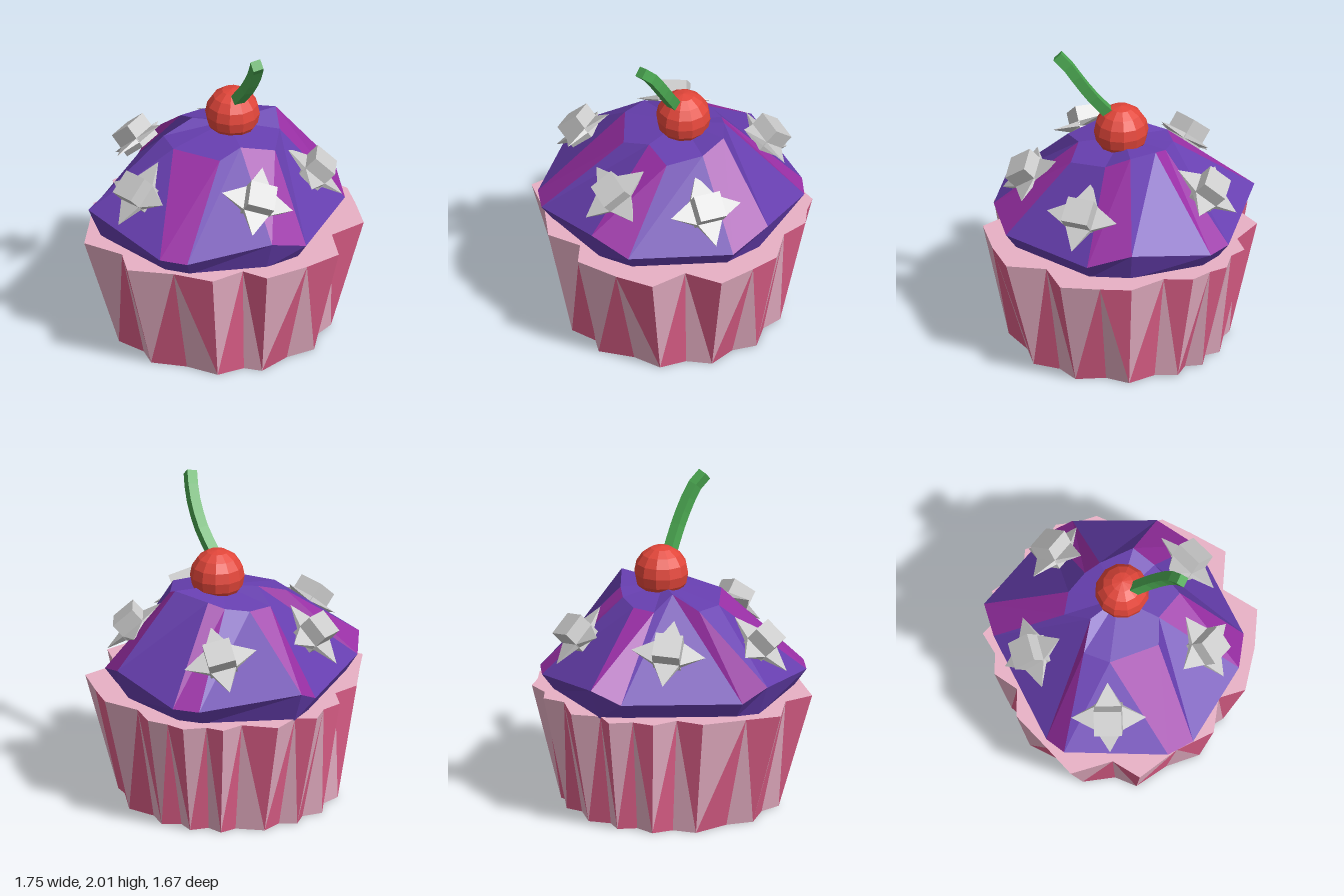
import * as THREE from 'three';

const material = color => new THREE.MeshStandardMaterial({ color, flatShading: true });

function addMesh(parent, name, geometry, mat) {
  const mesh = new THREE.Mesh(geometry, mat);
  mesh.name = name;
  parent.add(mesh);
  return mesh;
}

// Turns a list of corner points, three per face, into a faceted geometry
function facets(points) {
  const g = new THREE.BufferGeometry().setFromPoints(points);
  g.computeVertexNormals();
  return g;
}

const V = (x, y, z) => new THREE.Vector3(x, y, z);

// Pleated paper cup: fourteen folds, narrow at the foot, uneven at the rim
function buildCup() {
  const group = new THREE.Group();
  group.name = 'paperCup';
  const high = [
    [0.87, 0.01], [0.84, 0.2], [0.79, 0.44], [0.55, 0.5], [0.49, 0.74], [0.25, 0.8], [-0.03, 0.83],
    [-0.13, 0.69], [-0.35, 0.73], [-0.53, 0.55], [-0.77, 0.39], [-0.72, 0.2], [-0.875, -0.02],
    [-0.76, -0.21], [-0.62, -0.45], [-0.45, -0.5], [-0.4, -0.66], [-0.27, -0.7], [-0.17, -0.81],
    [-0.05, -0.75], [0.11, -0.84], [0.29, -0.7], [0.43, -0.73], [0.5, -0.64], [0.64, -0.6],
    [0.69, -0.49], [0.77, -0.38], [0.75, -0.2],
  ].map(([x, z]) => V(x, 0.74, z));
  const n = high.length;
  const low = high.map((p, i) => {
    const a = Math.atan2(p.z, p.x), r = i % 2 ? 0.61 : 0.675;
    return V(0.03 + r * Math.cos(a), 0, r * Math.sin(a));
  });
  // Diagonals alternate, so each fold is a pale and a pink triangle
  const pale = [], pink = [];
  for (let i = 0; i < n; i++) {
    const j = (i + 1) % n;
    if (i % 2) {
      pale.push(high[i], high[j], low[j]);
      pink.push(low[i], high[i], low[j]);
    } else {
      pink.push(high[i], high[j], low[i]);
      pale.push(low[i], high[j], low[j]);
    }
    pale.push(V(0, 0, 0), low[i], low[j], V(0, 0.74, 0), high[j], high[i]);
  }
  addMesh(group, 'paleFolds', facets(pale), material(0xe8b0c5));
  addMesh(group, 'pinkFolds', facets(pink), material(0xe0608a));
  return group;
}

// Swirled icing: wide purple lobes separated by narrow magenta creases
function buildIcing() {
  const group = new THREE.Group();
  group.name = 'icing';
  const rim = [
    [0.79, 0.93, 0], [0.74, 0.84, 0.27], [0.28, 0.84, 0.72], [0.03, 0.93, 0.77],
    [-0.48, 0.84, 0.64], [-0.61, 0.84, 0.52], [-0.82, 0.93, -0.08], [-0.74, 0.84, -0.22],
    [-0.2, 0.84, -0.73], [-0.05, 0.93, -0.84], [0.54, 0.84, -0.62], [0.66, 0.84, -0.5],
  ].map(p => V(...p));
  const crown = [
    [0.41, 1.4, -0.03], [0.37, 1.33, 0.12], [0.25, 1.31, 0.32], [0.05, 1.34, 0.25],
    [-0.11, 1.31, 0.3], [-0.31, 1.31, 0.05], [-0.3, 1.31, -0.12], [-0.1, 1.38, -0.14],
    [-0.1, 1.31, -0.31], [0.05, 1.31, -0.33], [0.19, 1.33, -0.27], [0.27, 1.36, -0.2],
  ].map(p => V(...p));
  const base = rim.map(p => V(p.x * 0.9, 0.73, p.z * 0.9));
  const apex = V(0.08, 1.38, -0.02);
  const lobes = [], creases = [];
  rim.forEach((_, i) => {
    const j = (i + 1) % rim.length;
    const upper = i % 2 ? lobes : creases;
    lobes.push(base[i], rim[i], base[j], rim[i], rim[j], base[j]);
    upper.push(rim[i], crown[i], rim[j], crown[i], crown[j], rim[j]);
    lobes.push(crown[i], apex, crown[j]);
  });
  addMesh(group, 'purpleLobes', facets(lobes), material(0x673fb0));
  addMesh(group, 'magentaCreases', facets(creases), material(0x9a2fa6));
  return group;
}

// Sprinkle: a block set through a thin four-pointed star
function buildSprinkle(x, y, z, roll) {
  const group = new THREE.Group();
  group.name = 'sprinkle';
  const grey = material(0xcccccc);
  addMesh(group, 'block', new THREE.BoxGeometry(0.17, 0.16, 0.16), grey).position.z = 0.03;
  const spike = new THREE.ConeGeometry(0.08 * Math.SQRT2, 0.15, 4).rotateY(Math.PI / 4);
  spike.scale(1, 1, 0.2).translate(0, 0.155, 0);
  for (let i = 0; i < 4; i++) {
    addMesh(group, 'spike', spike, grey).rotation.z = (i * Math.PI) / 2;
  }
  // Lay it flat on the icing slope
  const r = Math.hypot(x, z);
  group.lookAt(x / r, 1.1, z / r);
  group.rotateZ(roll);
  group.position.set(x, y, z);
  return group;
}

// Stem: a square rod bent forward, rooted in the cherry
function buildStem() {
  const s = 0.032;
  const square = new THREE.Shape([[-s, -s], [s, -s], [s, s], [-s, s]].map(p => new THREE.Vector2(...p)));
  const extrudePath = new THREE.CatmullRomCurve3([
    V(0.1, 1.55, 0.06), V(0.13, 1.69, 0.17), V(0.135, 1.82, 0.26), V(0.125, 1.91, 0.32), V(0.1, 1.976, 0.385),
  ]);
  return new THREE.ExtrudeGeometry(square, { steps: 6, extrudePath });
}

export function createModel() {
  const model = new THREE.Group();
  model.name = 'cupcake';
  model.add(buildCup(), buildIcing());

  [
    [0.03, 1.12, 0.55, -0.5], [0.53, 1.08, 0.28, 0], [0.34, 1.11, -0.51, 0.35],
    [-0.33, 1.13, -0.44, -0.1], [-0.58, 1.1, 0.13, 0.1],
  ].forEach(s => model.add(buildSprinkle(...s)));

  const cherry = addMesh(model, 'cherry', new THREE.SphereGeometry(0.168, 12, 8), material(0xe2463a));
  cherry.position.set(0.11, 1.443, -0.005);
  addMesh(model, 'stem', buildStem(), material(0x4aa550));
  return model;
}
